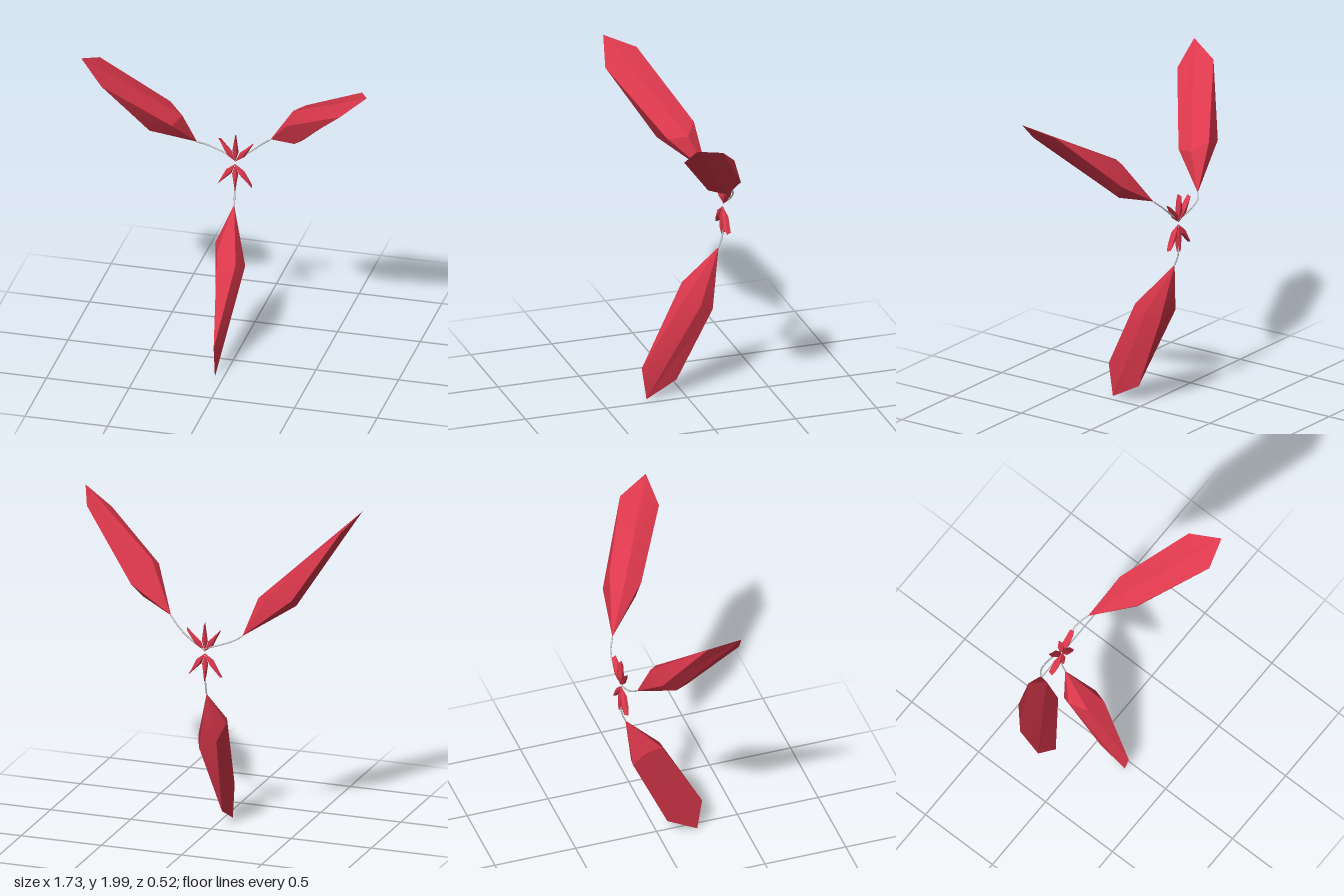
import * as THREE from 'three';
import { toCreasedNormals } from 'three/addons/utils/BufferGeometryUtils.js';

const red = new THREE.MeshStandardMaterial({ color: 0xdc384c });
const grey = new THREE.MeshStandardMaterial({ color: 0xcccccc });

// Faceted blade along +x: pointed root, six-sided middle, knife edge at the end
function bladeGeometry(mid, [front, tip, back]) {
  const end = [front, front, tip, back, back, tip];
  const pos = [];
  const tri = (...pts) => pts.forEach((p) => pos.push(...p));
  mid.forEach((m, i) => {
    const j = (i + 1) % 6;
    tri([0, 0, 0], m, mid[j]);
    tri(m, end[i], mid[j]);
    if (end[i] !== end[j]) tri(mid[j], end[i], end[j]);
  });
  const g = new THREE.BufferGeometry();
  g.setAttribute('position', new THREE.Float32BufferAttribute(pos, 3));
  return toCreasedNormals(g, 0.45);
}

export function createModel() {
  const model = new THREE.Group();
  const add = (name, geometry, material, root, degrees) => {
    const mesh = new THREE.Mesh(geometry, material);
    mesh.name = name;
    mesh.position.set(...root);
    mesh.rotation.z = THREE.MathUtils.degToRad(degrees);
    model.add(mesh);
  };

  // Three large blades, each on a thin bent stem
  const bladeGeo = bladeGeometry(
    [[0.215, -0.05, 0.21], [0.27, 0.07, 0.235], [0.315, 0.105, 0.145],
      [0.36, 0.07, 0.06], [0.3, -0.05, 0.03], [0.205, -0.087, 0.095]],
    [[0.71, 0, 0.475], [0.91, 0, 0.445], [0.81, 0, 0.26]],
  );
  const arms = [
    ['lower', -90, [[-0.05, 1.17, -0.235], [-0.05, 1.06, -0.238], [-0.052, 0.98, -0.232], [-0.05, 0.92, -0.21]]],
    ['left', 40, [[-0.05, 1.2, -0.24], [0.04, 1.265, -0.252], [0.11, 1.325, -0.245], [0.17, 1.38, -0.215]]],
    ['right', 130, [[-0.05, 1.21, -0.24], [-0.13, 1.24, -0.252], [-0.23, 1.28, -0.245], [-0.275, 1.305, -0.215]]],
  ];
  for (const [side, angle, points] of arms) {
    const curve = new THREE.CatmullRomCurve3(points.map((p) => new THREE.Vector3(...p)));
    add(`${side}Stem`, new THREE.TubeGeometry(curve, 12, 0.005, 6), grey, [0, 0, 0], 0);
    add(`${side}Blade`, bladeGeo, red, points[3], angle);
  }

  // Two small fans of leaves at the centre
  const leafGeo = bladeGeometry(
    [[0.06, -0.011, 0.018], [0.06, 0.011, 0.018], [0.065, 0.019, 0],
      [0.07, 0.011, -0.018], [0.07, -0.011, -0.018], [0.065, -0.019, 0]],
    [[0.135, 0, 0.018], [0.175, 0, 0.008], [0.165, 0, -0.018]],
  );
  [125, 90, 50].forEach((a) => add('upperLeaf', leafGeo, red, [-0.05, 1.192, -0.24], a));
  [233, 270, 306].forEach((a) => add('lowerLeaf', leafGeo, red, [-0.05, 1.178, -0.235], a));

  return model;
}
